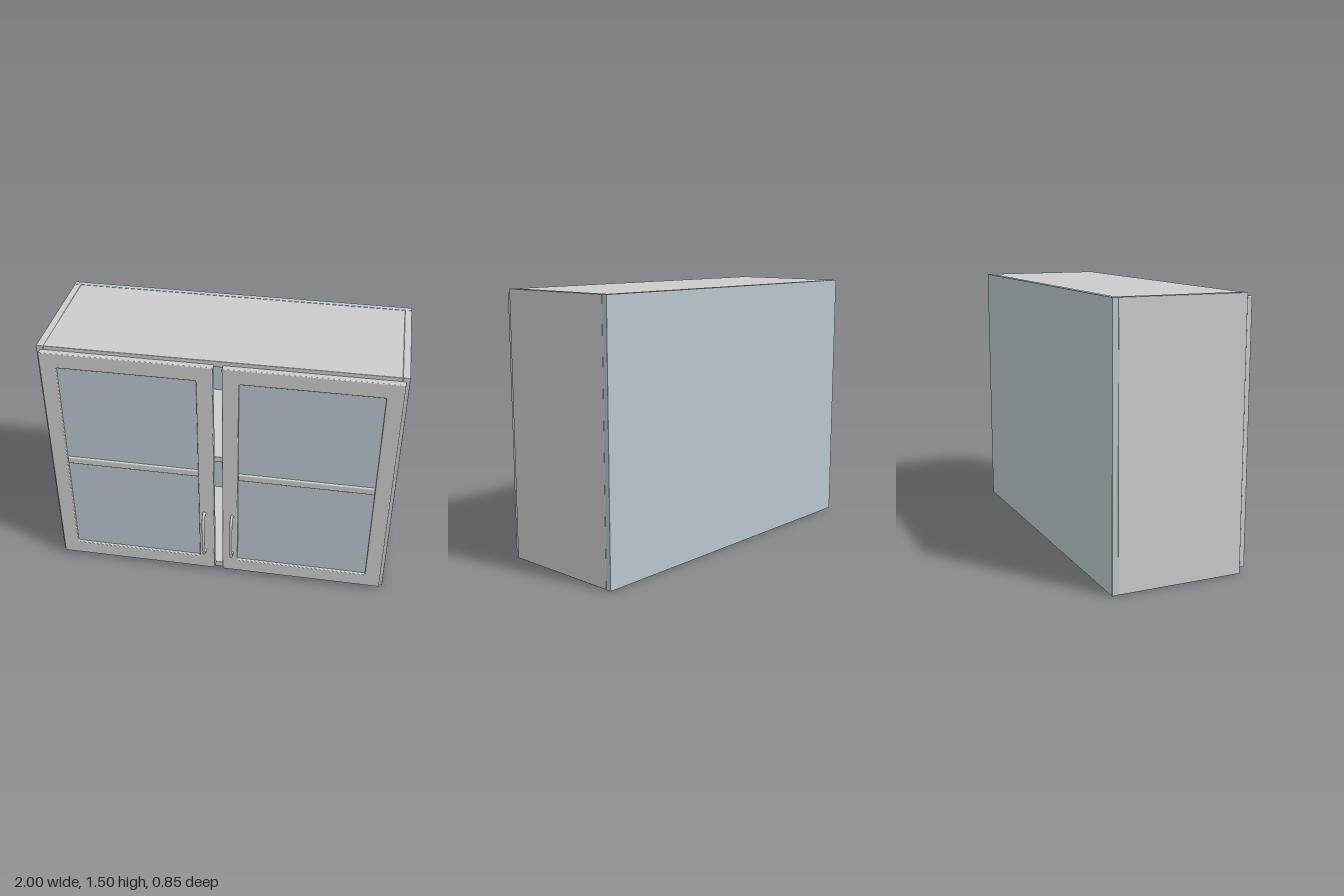
import * as THREE from 'three';
import { RoundedBoxGeometry } from 'three/addons/geometries/RoundedBoxGeometry.js';

const grey = new THREE.MeshStandardMaterial({ color: 0xcccccc });
const glass = new THREE.MeshStandardMaterial({ color: 0xb9c7cc });

function add(parent, name, geometry, material = grey) {
  const mesh = new THREE.Mesh(geometry, material);
  mesh.name = name;
  parent.add(mesh);
  return mesh;
}

// Softly rounded panel given by its minimum and maximum corners
function panel(parent, name, [x0, y0, z0], [x1, y1, z1], material = grey, radius = 0.004) {
  const geometry = new RoundedBoxGeometry(x1 - x0, y1 - y0, z1 - z0, 2, radius);
  const mesh = add(parent, name, geometry, material);
  mesh.position.set((x0 + x1) / 2, (y0 + y1) / 2, (z0 + z1) / 2);
  return mesh;
}

// Rectangle outline with rounded corners, used for the door and its opening
function roundedRect(path, x0, y0, x1, y1, r) {
  path.absarc(x1 - r, y0 + r, r, -Math.PI / 2, 0);
  path.absarc(x1 - r, y1 - r, r, 0, Math.PI / 2);
  path.absarc(x0 + r, y1 - r, r, Math.PI / 2, Math.PI);
  path.absarc(x0 + r, y0 + r, r, Math.PI, Math.PI * 1.5);
  path.closePath();
  return path;
}

function createHandle() {
  const handle = new THREE.Group();
  handle.name = 'handle';
  // Bow path in the y-z plane, symmetric about y = 0
  const half = [[0.147, 0.362], [0.147, 0.38], [0.145, 0.398], [0.132, 0.405], [0.1, 0.411], [0.05, 0.414]];
  const lower = half.map(([y, z]) => new THREE.Vector3(0, -y, z));
  const upper = half.map(([y, z]) => new THREE.Vector3(0, y, z)).reverse();
  const curve = new THREE.CatmullRomCurve3([...lower, ...upper], false, 'centripetal');
  add(handle, 'handleBow', new THREE.TubeGeometry(curve, 64, 0.0085, 12));
  // Feet against the door
  for (const s of [-1, 1]) {
    const foot = add(handle, 'handleFoot', new THREE.CylinderGeometry(0.0095, 0.0105, 0.012, 16));
    foot.rotation.x = Math.PI / 2;
    foot.position.set(0, s * 0.147, 0.37);
  }
  return handle;
}

function createDoor(side) {
  const door = new THREE.Group();
  door.name = side > 0 ? 'leftDoor' : 'rightDoor';
  const w = 0.4775, bevel = 0.005;

  // Frame with a window opening
  const shape = roundedRect(new THREE.Shape(), -w, 0.025, w, 1.48, 0.006);
  shape.holes.push(roundedRect(new THREE.Path(), -0.387, 0.113, 0.387, 1.39, 0.01));
  const frame = new THREE.ExtrudeGeometry(shape, {
    depth: 0.04 - 2 * bevel, bevelSize: bevel, bevelThickness: bevel,
    bevelOffset: -bevel, bevelSegments: 3, curveSegments: 4,
  });
  frame.translate(0, 0, 0.325 + bevel);
  add(door, 'doorFrame', frame);

  // Glazing and the bar across it
  panel(door, 'doorGlass', [-0.392, 0.108, 0.34], [0.392, 1.395, 0.348], glass, 0.001);
  panel(door, 'glazingBar', [-0.386, 0.73, 0.332], [0.386, 0.775, 0.36], grey, 0.008);

  const handle = createHandle();
  handle.position.set(-side * (0.502 - 0.083), 0.315, 0);
  door.add(handle);
  door.position.x = side * 0.502;
  return door;
}

export function createModel() {
  const model = new THREE.Group();
  model.name = 'wallCabinet';

  // Carcass
  for (const s of [-1, 1]) {
    panel(model, s > 0 ? 'leftSide' : 'rightSide',
      [s > 0 ? 0.96 : -1, 0, -0.393], [s > 0 ? 1 : -0.96, 1.5, 0.325]);
  }
  panel(model, 'bottomPanel', [-0.961, 0.001, -0.393], [0.961, 0.038, 0.323]);
  panel(model, 'topPanel', [-0.961, 1.462, -0.393], [0.961, 1.499, 0.323]);
  panel(model, 'shelf', [-0.96, 0.798, -0.393], [0.96, 0.835, 0.29]);
  panel(model, 'backPanel', [-1, 0, -0.425], [1, 1.5, -0.392], glass, 0.002);

  // Pair of glazed doors
  for (const side of [-1, 1]) model.add(createDoor(side));
  return model;
}
